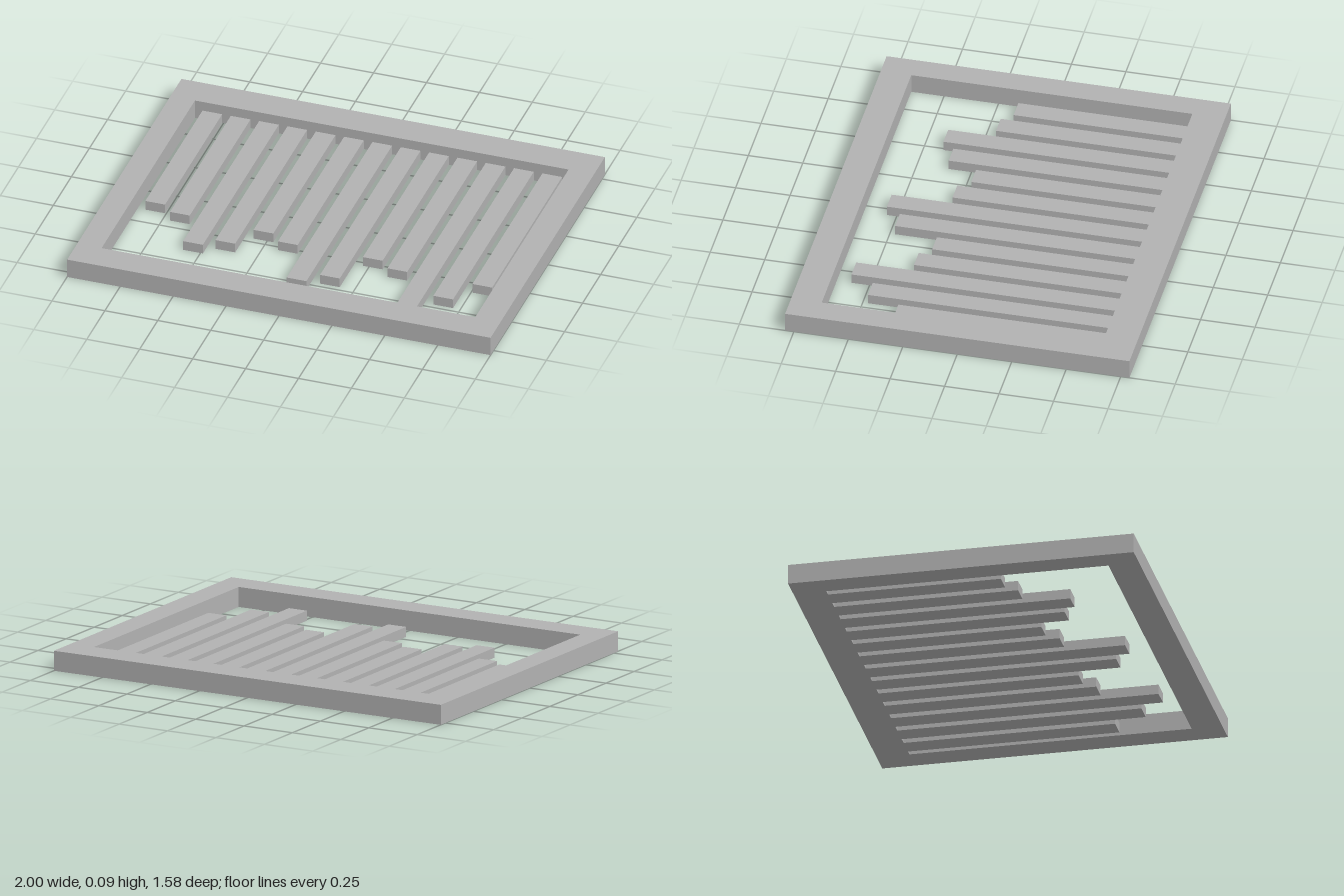
import * as THREE from 'three';

const FRAME_HEIGHT = 0.092;
const BAR_HEIGHT = 0.046;
const BAR_WIDTH = 0.093;
const BACK_Z = -0.64; // inner edge of the back rail

// Front end (z) of each bar, from -x to +x
const BAR_ENDS = [0.15, 0.2, 0.41, 0.355, 0.22, 0.275, 0.545, 0.476, 0.275, 0.327, 0.583, 0.476, 0.327];

const rectangle = (PathType, x0, x1, z0, z1) => new PathType([
  new THREE.Vector2(x0, -z1),
  new THREE.Vector2(x1, -z1),
  new THREE.Vector2(x1, -z0),
  new THREE.Vector2(x0, -z0),
]);

export function createModel() {
  const model = new THREE.Group();
  model.name = 'slattedPanel';
  const grey = new THREE.MeshStandardMaterial({ color: 0xb2b2b2 });
  grey.name = 'grey';

  // Rectangular border with one opening
  const outline = rectangle(THREE.Shape, -1, 1, -0.79, 0.79);
  outline.holes.push(rectangle(THREE.Path, -0.885, 0.88, BACK_Z, 0.65));
  const frameGeometry = new THREE.ExtrudeGeometry(outline, { depth: FRAME_HEIGHT, bevelEnabled: false });
  frameGeometry.rotateX(-Math.PI / 2);
  const frame = new THREE.Mesh(frameGeometry, grey);
  frame.name = 'frame';
  model.add(frame);

  // Low bars of varied length, flush with the underside and joined to the back rail
  const bars = new THREE.Group();
  bars.name = 'bars';
  BAR_ENDS.forEach((end, i) => {
    const length = end - BACK_Z;
    const bar = new THREE.Mesh(new THREE.BoxGeometry(BAR_WIDTH, BAR_HEIGHT, length), grey);
    bar.name = `bar${i + 1}`;
    bar.position.set((i - 6) * 0.1338, BAR_HEIGHT / 2, BACK_Z + length / 2);
    bars.add(bar);
  });
  model.add(bars);

  return model;
}
